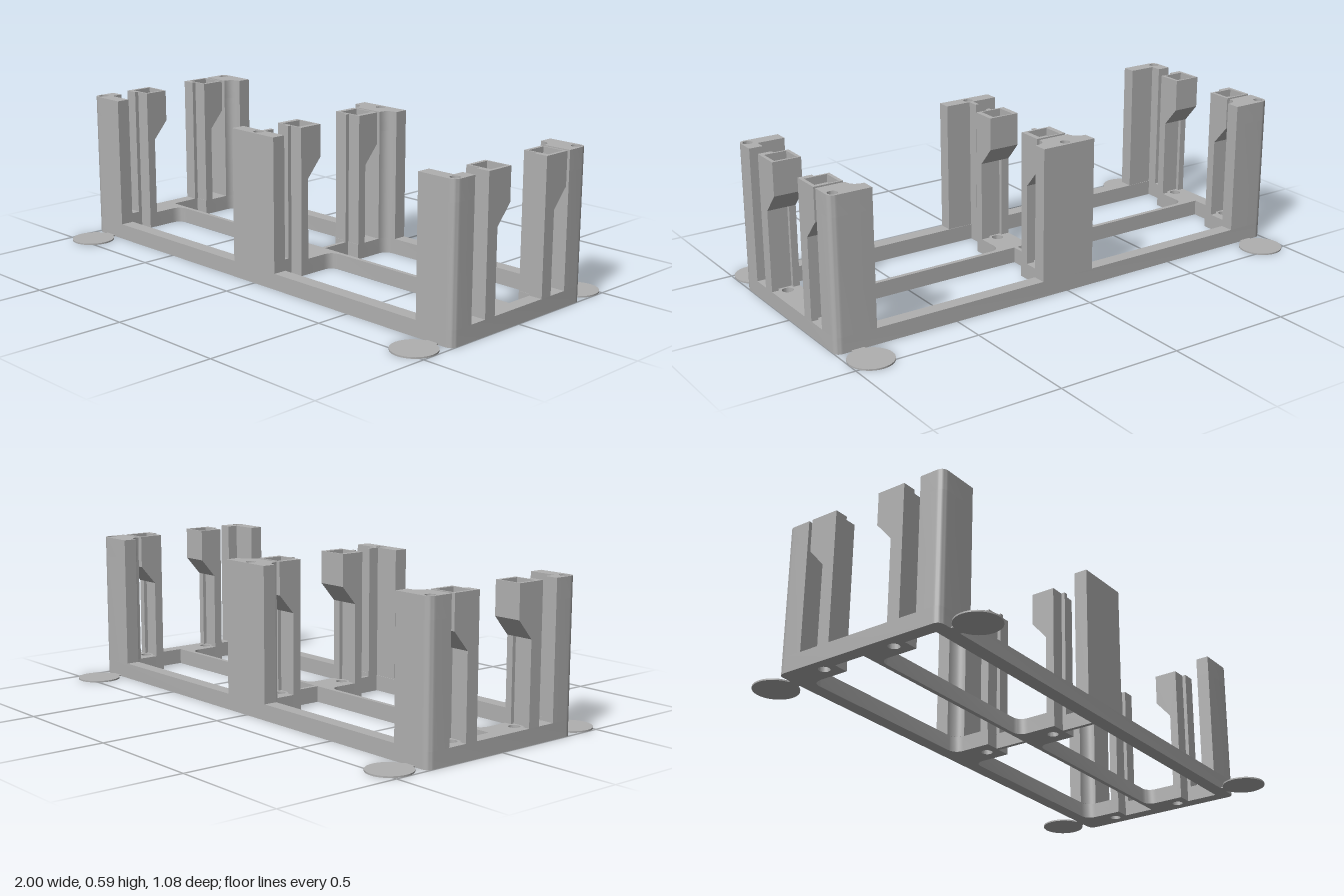
import * as THREE from 'three';
import { toCreasedNormals } from 'three/addons/utils/BufferGeometryUtils.js';

const TOP = 0.59, BASE = 0.063, RAIL = 0.305, EDGE = 0.36, BAR = 0.008;

// Plan outline in (x, z); a point with four numbers is a curve: control, then end
function trace(path, pts) {
  path.moveTo(pts[0][0], pts[0][1]);
  for (const p of pts.slice(1)) {
    if (p.length === 4) path.quadraticCurveTo(...p);
    else path.lineTo(...p);
  }
  path.closePath();
  return path;
}
const circle = (x, z, r) => new THREE.Path().absarc(x, z, r, 0, Math.PI * 2);
const rect = (x0, x1, z0, z1) => [[x0, z0], [x1, z0], [x1, z1], [x0, z1]];

// Extrude a plan outline upward from y0 to y1
function prism(pts, y0, y1, holes = []) {
  const shape = trace(new THREE.Shape(), pts);
  shape.holes.push(...holes);
  const g = new THREE.ExtrudeGeometry(shape, { depth: y1 - y0, bevelEnabled: false, curveSegments: 10 });
  g.rotateX(Math.PI / 2).translate(0, y1, 0);
  return toCreasedNormals(g, 0.6);
}

// Extrude a side profile in (z, y) across x0..x1
function sideProfile(pts, x0, x1) {
  const shape = trace(new THREE.Shape(), pts.map(([z, y]) => [-z, y]));
  const g = new THREE.ExtrudeGeometry(shape, { depth: x1 - x0, bevelEnabled: false });
  return g.rotateY(Math.PI / 2).translate(x0, 0, 0);
}

export function createModel() {
  const root = new THREE.Group();
  const grey = new THREE.MeshStandardMaterial({ color: 0xb0b0b0 });
  grey.name = 'grey plastic';
  const add = (parent, name, geo) => {
    const m = new THREE.Mesh(geo, grey);
    m.name = name;
    parent.add(m);
    return m;
  };
  const box = (parent, name, x0, x1, y0, y1, z0, z1) =>
    add(parent, name, new THREE.BoxGeometry(x1 - x0, y1 - y0, z1 - z0)
      .translate((x0 + x1) / 2, (y0 + y1) / 2, (z0 + z1) / 2));

  const holderX = [-0.9425, 0, 0.9425];
  const holderShift = [0, -0.315];

  // Base frame with four windows and screw holes under the holders
  const holes = [];
  for (const s of [-1, 1]) {
    for (const [z0, z1, step] of [[-RAIL, -0.012, -0.142], [0.006, RAIL - 0.002, 0.171]]) {
      const r = 0.045;
      holes.push(trace(new THREE.Path(), [
        [s * 0.11, z0], [s * 0.84, z0], [s * 0.885, z0, s * 0.885, z0 + r],
        [s * 0.885, step], [s * 0.945, step], [s * 0.945, z1],
        [s * BAR, z1], [s * BAR, step], [s * 0.065, step],
        [s * 0.065, z0 + r], [s * 0.065, z0, s * 0.11, z0],
      ]));
    }
  }
  for (const x of holderX) for (const dz of holderShift) holes.push(circle(x, 0.12 + dz, 0.022));
  const c = 0.03;
  add(root, 'baseFrame', prism([
    [-1 + c, -EDGE], [1 - c, -EDGE], [1, -EDGE, 1, -EDGE + c],
    [1, EDGE - c], [1, EDGE, 1 - c, EDGE],
    [-1 + c, EDGE], [-1, EDGE, -1, EDGE - c],
    [-1, -EDGE + c], [-1, -EDGE, -1 + c, -EDGE],
  ], 0, BASE, holes));

  // Posts have a blind pin hole in the top
  function post(name, pts, hx, hz) {
    const g = new THREE.Group();
    g.name = name;
    add(g, 'postBody', prism(pts, BASE, TOP - 0.08));
    add(g, 'postTop', prism(pts, TOP - 0.08, TOP, [circle(hx, hz, 0.019)]));
    root.add(g);
  }
  for (const s of [-1, 1]) {
    post('rearCornerPost', [
      [s * 0.835, -EDGE], [s * (1 - c), -EDGE], [s, -EDGE, s, -EDGE + c],
      [s, -0.26], [s * 0.885, -0.26], [s * 0.885, -RAIL, s * 0.835, -RAIL],
    ], s * 0.973, -0.332);
    post('frontCornerPost', [
      [s * 0.835, EDGE], [s * (1 - c), EDGE], [s, EDGE, s, EDGE - c],
      [s, 0.26], [s * 0.945, 0.26], [s * 0.945, RAIL], [s * 0.835, RAIL],
    ], s * 0.973, 0.33);
  }
  post('rearCentrePost', [
    [-0.115, -EDGE], [0.115, -EDGE], [0.115, -RAIL], [0.065, -RAIL, 0.065, -0.26],
    [-0.065, -0.26], [-0.065, -RAIL, -0.115, -RAIL],
  ], 0, -0.332);
  post('frontCentrePost', [
    [-0.115, EDGE], [0.115, EDGE], [0.115, RAIL], [BAR, RAIL], [BAR, 0.26],
    [-BAR, 0.26], [-BAR, RAIL], [-0.115, RAIL],
  ], 0, 0.33);

  // Holders: channel column, overhanging hollow head, stiffening rib
  const lip = TOP - 0.03;
  for (const x of holderX) {
    const w = x === 0 ? 0.065 : 0.0575, inner = 0.03;
    for (const dz of holderShift) {
      const g = new THREE.Group();
      g.name = dz ? 'rearHolder' : 'frontHolder';
      const wall = [[0.171, BASE], [0.171, lip], [0.07, lip], [0.07, 0.46], [0.135, 0.385], [0.135, BASE]];
      add(g, 'sideWall', sideProfile(wall, x - w, x - inner));
      add(g, 'sideWall', sideProfile(wall, x + inner, x + w));
      box(g, 'backWall', x - inner, x + inner, BASE, lip, 0.15, 0.171);
      add(g, 'overhang', sideProfile([
        [0.07, lip], [0.07, 0.46], [0.135, 0.385], [0.135, 0.415], [0.09, 0.467], [0.09, lip],
      ], x - inner, x + inner));
      add(g, 'socketRim', prism(rect(x - w, x + w, 0.07, 0.171), lip, TOP,
        [trace(new THREE.Path(), rect(x - 0.044, x + 0.044, 0.077, 0.163))]));
      const s = Math.sign(x);
      const [r0, r1] = s ? [Math.min(s, s * 0.945), Math.max(s, s * 0.945)] : [-BAR, BAR];
      box(g, 'rib', r0, r1, BASE, TOP, 0.171, 0.187);
      g.position.z = dz;
      root.add(g);
    }
  }

  // Thin corner discs joined by small tabs
  for (const sx of [-1, 1]) for (const sz of [-1, 1]) {
    add(root, 'cornerDisc', new THREE.CylinderGeometry(0.086, 0.086, 0.006, 40))
      .position.set(sx * 0.914, 0.003, sz * 0.453);
    add(root, 'discTab', new THREE.BoxGeometry(0.05, 0.005, 0.04))
      .position.set(sx * 0.914, 0.0025, sz * 0.37);
  }
  return root;
}
